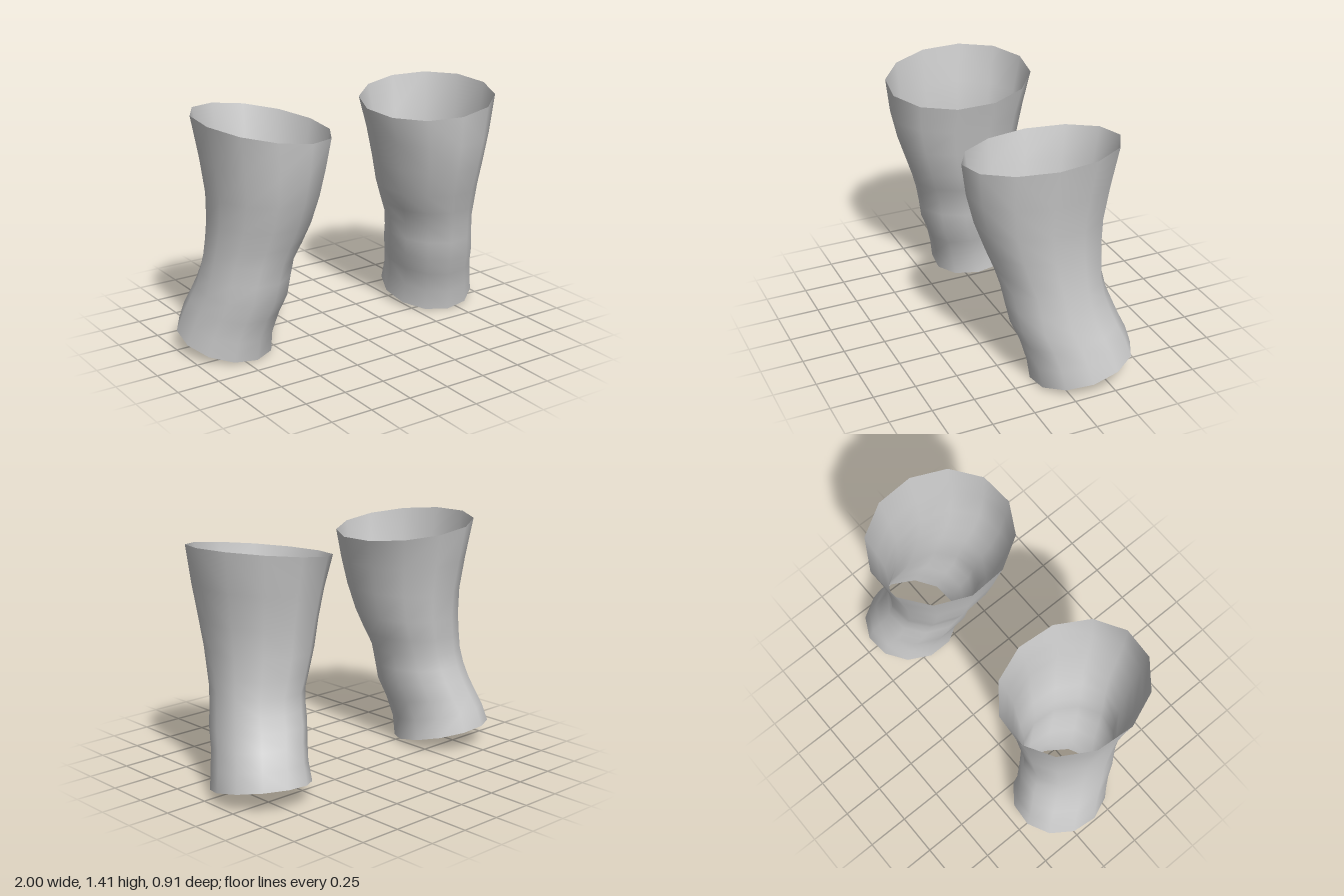
import * as THREE from 'three';

const SIDES = 12;
const PHASE = THREE.MathUtils.degToRad(10);

// Cross-sections from thigh to shin:
// centre height, inner x, outer x, back z, front z, tilt along x, tilt along z
const RINGS = [
  [1.36, 0.195, 0.94, -0.42, 0.455, 0.135, -0.05],
  [1.16, 0.238, 0.902, -0.375, 0.435, 0.05, -0.02],
  [0.98, 0.27, 0.876, -0.34, 0.395, 0, 0],
  [0.82, 0.303, 0.87, -0.325, 0.34, 0, 0],
  [0.70, 0.345, 0.876, -0.318, 0.295, 0, 0],
  [0.60, 0.383, 0.885, -0.312, 0.25, 0, 0],
  [0.50, 0.397, 0.9, -0.33, 0.235, 0, -0.03],
  [0.40, 0.41, 0.917, -0.36, 0.225, 0, -0.1],
  [0.30, 0.44, 0.942, -0.39, 0.178, 0.02, -0.15],
  [0.19, 0.467, 0.972, -0.43, 0.147, 0.05, -0.2],
  [0.077, 0.46, 1.0, -0.46, 0.13, 0.08, -0.22],
];

// Soft outward swelling of the kneecap on the front of the leg
function kneecap(x, y, z) {
  if (z < 0) return 0;
  return 0.03 * Math.exp(-(((x - 0.64) / 0.12) ** 2) - ((y - 0.56) / 0.09) ** 2);
}

// Open leg tube; side is +1 for left, -1 for right
function legGeometry(side) {
  const positions = [];
  const index = [];
  RINGS.forEach(([yc, x0, x1, z0, z1, tiltX, tiltZ], i) => {
    const xc = (x0 + x1) / 2;
    const zc = (z0 + z1) / 2;
    for (let j = 0; j < SIDES; j++) {
      const a = PHASE + (j / SIDES) * Math.PI * 2;
      const dx = Math.cos(a) * (x1 - x0) / 2 * 1.012;
      const dz = Math.sin(a) * (z1 - z0) / 2 * 1.012;
      const x = xc + dx;
      const y = yc + tiltX * dx + tiltZ * dz;
      const z = zc + dz;
      positions.push(side * x, y, z + kneecap(x, y, z));

      if (i === RINGS.length - 1) continue;
      const p = i * SIDES + j;
      const q = i * SIDES + (j + 1) % SIDES;
      const r = p + SIDES;
      const s = q + SIDES;
      if (side > 0) index.push(p, q, r, q, s, r);
      else index.push(p, r, q, q, r, s);
    }
  });
  const geometry = new THREE.BufferGeometry();
  geometry.setAttribute('position', new THREE.Float32BufferAttribute(positions, 3));
  geometry.setIndex(index);
  geometry.computeVertexNormals();
  return geometry;
}

export function createModel() {
  const group = new THREE.Group();
  group.name = 'kneeSleeves';
  const material = new THREE.MeshStandardMaterial({ color: 0xcccccc, side: THREE.DoubleSide });
  for (const [name, side] of [['leftKnee', 1], ['rightKnee', -1]]) {
    const leg = new THREE.Mesh(legGeometry(side), material);
    leg.name = name;
    group.add(leg);
  }
  return group;
}
